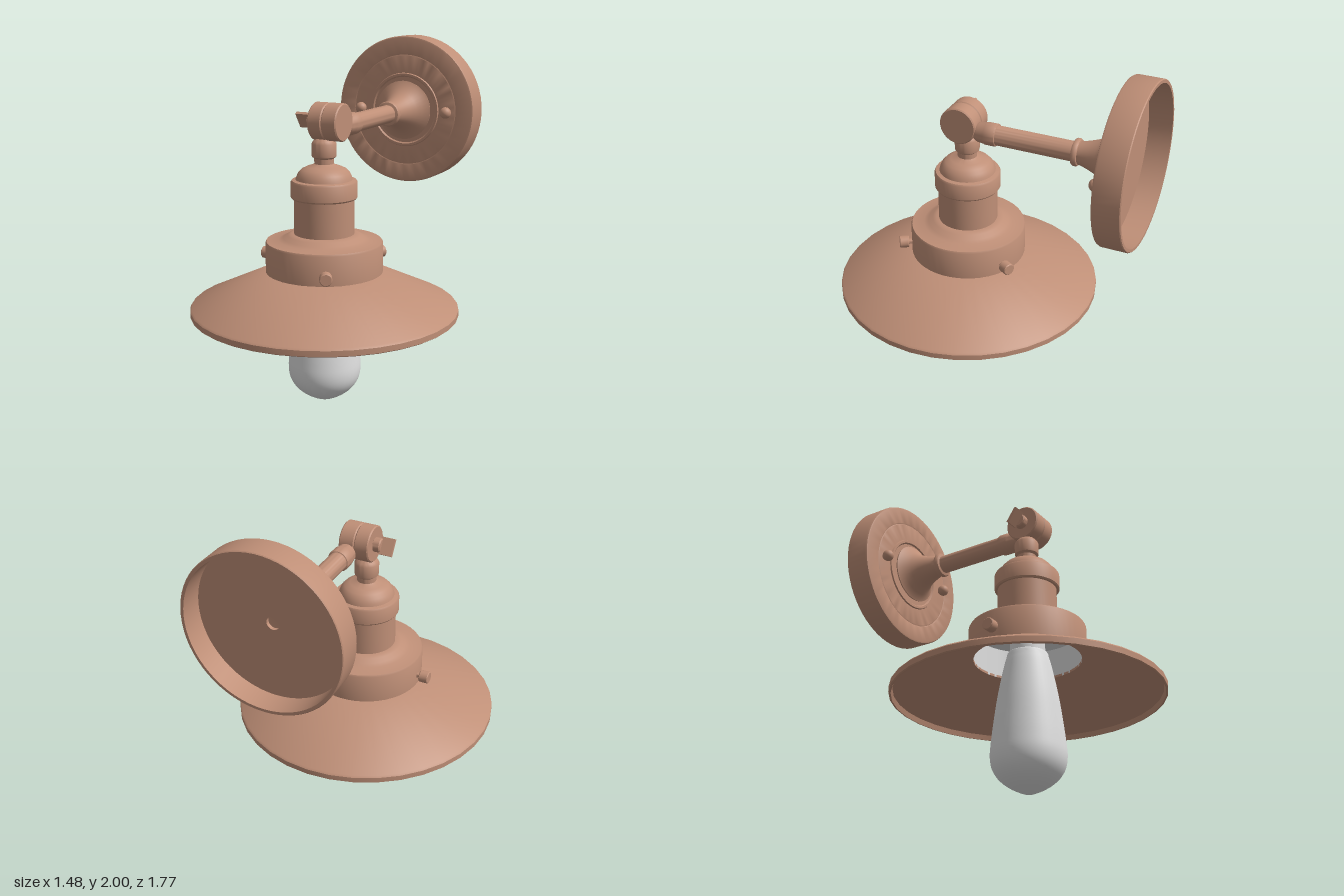
import * as THREE from 'three';
import { toCreasedNormals } from 'three/addons/utils/BufferGeometryUtils.js';

export function createModel() {
  const model = new THREE.Group();
  model.name = 'wallLamp';
  const copper = new THREE.MeshStandardMaterial({ color: 0xbf8f77 });
  copper.name = 'copper';
  const white = new THREE.MeshStandardMaterial({ color: 0xdedede });
  white.name = 'frosted white';

  const add = (parent, name, geometry, material = copper) => {
    const mesh = new THREE.Mesh(geometry, material);
    mesh.name = name;
    parent.add(mesh);
    return mesh;
  };
  // Turned profile of [radius, height] points, with crisp edges
  const turned = (points, segments = 48, crease = 0.6) =>
    toCreasedNormals(new THREE.LatheGeometry(points.map(p => new THREE.Vector2(...p)), segments), crease);
  // Same, with the axis along z
  const turnedZ = (points, segments) => turned(points, segments).rotateX(Math.PI / 2);
  // Disc with its axis along x, from x0 to x1, edges slightly eased
  const discX = (r, x0, x1, e = 0.006, segments = 40) =>
    turned([[0, x0], [r - e, x0], [r, x0 + e], [r, x1 - e], [r - e, x1], [0, x1]], segments).rotateZ(-Math.PI / 2);

  // ---- Wall mount and arm ----
  const mount = new THREE.Group();
  mount.name = 'wallMount';
  mount.position.set(0.07, 1.56, 0);
  model.add(mount);

  // Hollow pan, open at the back, with a cable hole
  add(mount, 'wallPlate', turnedZ([
    [0.424, -0.885], [0.436, -0.885], [0.44, -0.88], [0.44, -0.747], [0.436, -0.738], [0.428, -0.735],
    [0.335, -0.735], [0.33, -0.738], [0.325, -0.735],
    [0.222, -0.735], [0.218, -0.727], [0.205, -0.727], [0.198, -0.735], [0.036, -0.735],
    [0.036, -0.755], [0.42, -0.755], [0.42, -0.885], [0.424, -0.885],
  ], 64));

  // Flared base, bead, tube and end collar
  add(mount, 'arm', turnedZ([
    [0, -0.722], [0.15, -0.736], [0.15, -0.727], [0.174, -0.724], [0.176, -0.716], [0.168, -0.712],
    [0.138, -0.69], [0.112, -0.66], [0.092, -0.625], [0.077, -0.585], [0.066, -0.55], [0.061, -0.525],
    [0.068, -0.523], [0.073, -0.515], [0.073, -0.502], [0.068, -0.494], [0.053, -0.49],
    [0.053, -0.068], [0.058, -0.066], [0.061, -0.06], [0.061, -0.005], [0.058, 0.0],
    [0.055, 0.035], [0.045, 0.055], [0, 0.07],
  ], 40));

  for (const side of [-1, 1]) {
    const screw = add(mount, 'plateScrew', new THREE.SphereGeometry(0.034, 20, 14));
    screw.position.set(side * 0.278, 0, -0.705);
    const stem = add(mount, 'plateScrewStem', new THREE.CylinderGeometry(0.018, 0.018, 0.04, 14).rotateX(Math.PI / 2));
    stem.position.set(side * 0.278, 0, -0.725);
  }

  // ---- Swivel joint with wing screw ----
  const joint = new THREE.Group();
  joint.name = 'swivelJoint';
  joint.position.set(0, 1.59, 0.145);
  model.add(joint);
  add(joint, 'armHinge', discX(0.102, 0.033, 0.122));
  add(joint, 'lampHinge', discX(0.102, -0.05, 0.033));
  add(joint, 'wingScrewCollar', discX(0.04, -0.09, -0.045, 0.006, 24));
  const wing = add(joint, 'wingScrew', new THREE.BoxGeometry(0.075, 0.096, 0.018));
  wing.position.x = -0.12;
  wing.rotation.x = 0.6;

  // ---- Lamp head ----
  const head = new THREE.Group();
  head.name = 'lampHead';
  head.position.z = 0.145;
  model.add(head);

  add(head, 'socket', turned([
    [0.165, 0.96], [0.165, 1.172], [0.176, 1.172], [0.182, 1.18], [0.182, 1.262], [0.176, 1.272],
    [0.155, 1.276], [0.151, 1.29], [0.141, 1.312], [0.122, 1.332], [0.092, 1.346], [0.066, 1.354],
    [0.053, 1.362], [0.053, 1.39], [0.066, 1.4], [0.068, 1.41], [0.068, 1.47], [0.06, 1.484],
    [0.045, 1.5], [0, 1.51],
  ]));

  add(head, 'shadeCollar', turned([
    [0.323, 0.758], [0.323, 0.926], [0.318, 0.936], [0.25, 0.942], [0.225, 0.952],
    [0.2, 0.968], [0.18, 0.976], [0.16, 0.977],
  ]));

  add(head, 'shade', turned([
    [0.735, 0.53], [0.742, 0.535], [0.742, 0.565], [0.733, 0.575], [0.323, 0.765], [0.295, 0.765],
    [0.295, 0.752], [0.722, 0.558], [0.73, 0.53], [0.735, 0.53],
  ], 36));

  // Thumb screws around the collar
  for (let i = 0; i < 3; i++) {
    const screw = new THREE.Group();
    screw.name = 'collarScrew';
    screw.position.y = 0.82;
    screw.rotation.y = Math.PI + i * Math.PI * 2 / 3;
    head.add(screw);
    add(screw, 'collarScrewStem', discX(0.015, 0.31, 0.345, 0.001, 14));
    add(screw, 'collarScrewHead', discX(0.034, 0.34, 0.394, 0.004, 20));
  }

  // White recess inside the collar, bulb holder and bulb
  add(head, 'reflector', turned([[0, 0.925], [0.295, 0.925], [0.295, 0.752]]), white);
  add(head, 'bulbHolder', turned([[0, 0.78], [0.096, 0.78], [0.096, 0.925]], 32), white);
  const bulbCurve = new THREE.SplineCurve([
    [0, 0.004], [0.035, 0.014], [0.1, 0.045], [0.155, 0.087], [0.19, 0.138], [0.203, 0.2], [0.198, 0.28],
    [0.185, 0.39], [0.165, 0.53], [0.138, 0.67], [0.116, 0.76], [0.098, 0.79], [0, 0.8],
  ].map(p => new THREE.Vector2(...p)));
  const bulbPoints = bulbCurve.getPoints(48).map(p => [Math.max(p.x, 0), Math.max(p.y, 0)]);
  add(head, 'bulb', turned(bulbPoints, 40, 0.9), white);

  return model;
}
